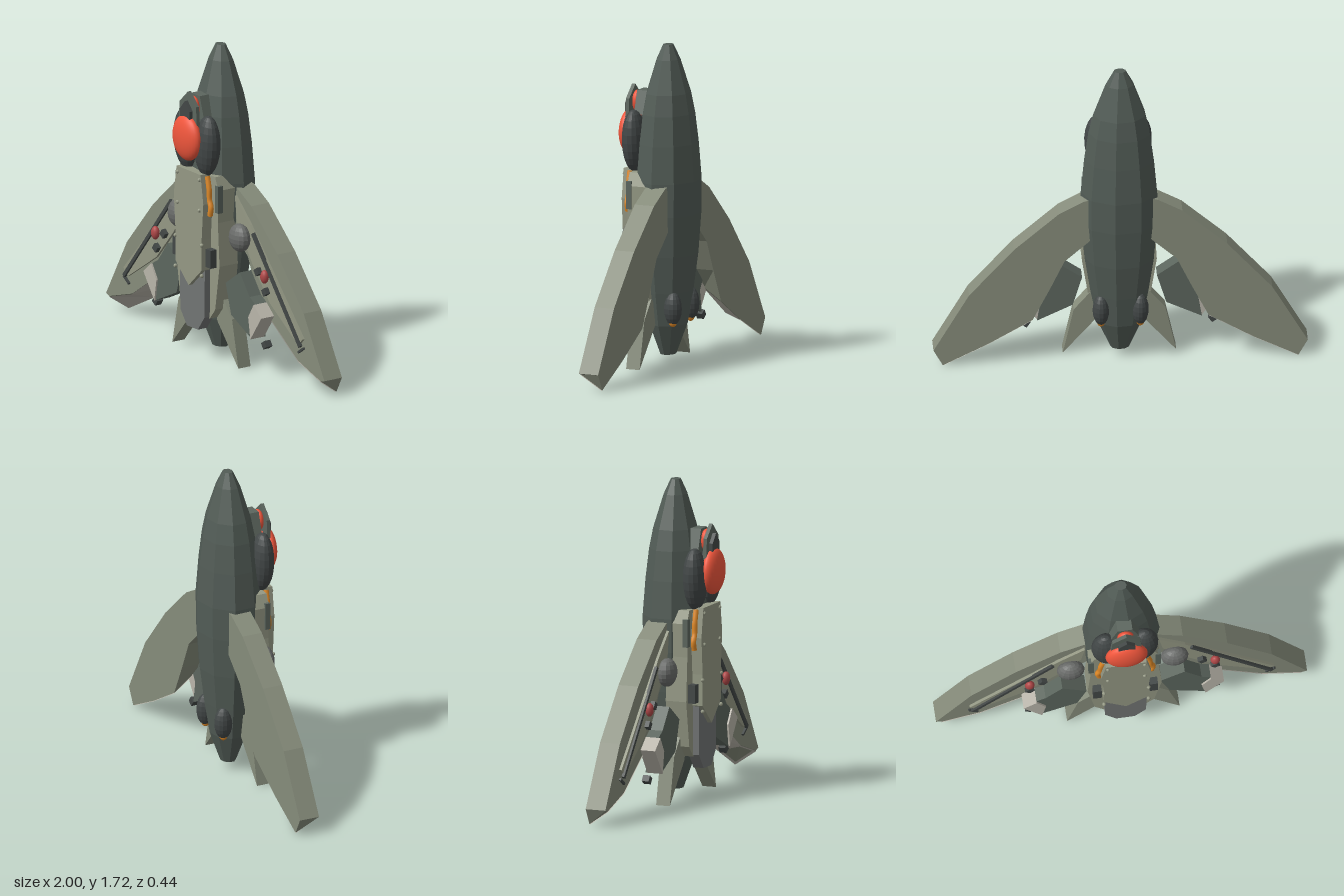
import * as THREE from 'three';

const mat = (color, flat = true, extra = {}) =>
  new THREE.MeshStandardMaterial({ color, flatShading: flat, ...extra });

export function createModel() {
  const root = new THREE.Group();
  root.name = 'craft';
  const hullMat = mat(0x525c56), wingMat = mat(0x868c7b), plateMat = mat(0x949884);
  const greyMat = mat(0x717473), darkMat = mat(0x434847), blockMat = mat(0x5c665e);
  const lightMat = mat(0xb9b5aa, true, { side: THREE.DoubleSide });
  const podMat = mat(0x424747), ballMat = mat(0x6a6c6a);
  const redMat = mat(0xf0563c, false), dullRed = mat(0xb04848, false), orangeMat = mat(0xe08a28, false);

  const add = (name, geo, material, x = 0, y = 0, z = 0) => {
    const m = new THREE.Mesh(geo, material);
    m.name = name;
    m.position.set(x, y, z);
    root.add(m);
    return m;
  };
  // Flat plate: outline in x/y, between two depths
  const plateGeo = (pts, z0, z1, s = 1) => {
    const shape = new THREE.Shape(pts.map(([x, y]) => new THREE.Vector2(x * s, y)));
    return new THREE.ExtrudeGeometry(shape, { depth: z1 - z0, bevelEnabled: false }).translate(0, 0, z0);
  };
  const plate = (name, pts, z0, z1, material, s = 1) => add(name, plateGeo(pts, z0, z1, s), material);
  // Plate symmetric about x = 0, given its +x half from top to bottom
  const symPlate = (name, half, z0, z1, material) =>
    plate(name, [...half, ...half.filter(p => p[0] > 0).reverse().map(([x, y]) => [-x, y])], z0, z1, material);
  const ellipsoid = (name, [x, y, z], [rx, ry, rz], material, w = 20, h = 14) =>
    add(name, new THREE.SphereGeometry(1, w, h).scale(rx, ry, rz), material, x, y, z);

  // Faceted spindle hull
  const profile = [[0, 0.055], [0.05, 0.055], [0.12, 0.22], [0.155, 0.4], [0.185, 0.6], [0.203, 0.82],
    [0.205, 1.0], [0.187, 1.2], [0.165, 1.36], [0.14, 1.47], [0.075, 1.65], [0.032, 1.73], [0, 1.73]];
  const hull = new THREE.LatheGeometry(profile.map(p => new THREE.Vector2(...p)), 9);
  hull.rotateY(Math.PI * 0.95).scale(1.02, 1, 0.83);
  add('hull', hull, hullMat, 0, 0, -0.05);

  // Stacked belly armour
  symPlate('baseArmour', [[0.16, 1.05], [0.19, 0.98], [0.185, 0.8], [0.2, 0.56], [0.16, 0.31], [0.11, 0.25]],
    -0.02, 0.1, plateMat);
  symPlate('keelPlate', [[0.115, 0.55], [0.11, 0.26], [0.05, 0.18], [0, 0.16]].filter(p => p[0] > 0),
    0.075, 0.135, greyMat);
  symPlate('chestPlate', [[0.11, 1.06], [0.135, 0.9], [0.12, 0.7], [0.12, 0.53], [0, 0.42]], 0.1, 0.16, plateMat);

  // Head crest and eyes
  symPlate('crest', [[0, 1.5], [0.075, 1.43], [0.085, 1.3]], 0.145, 0.165, blockMat);
  symPlate('crestBlock', [[0.04, 1.475], [0.08, 1.35]], 0.03, 0.115, blockMat);
  symPlate('crestInset', [[0, 1.45], [0.045, 1.4], [0.045, 1.33]], 0.16, 0.185, darkMat);
  ellipsoid('upperLens', [0, 1.41, 0.13], [0.045, 0.06, 0.03], redMat);
  ellipsoid('mainLens', [0, 1.245, 0.17], [0.114, 0.126, 0.05], redMat, 28, 18);

  // Wing outline: leading edge, tip, then trailing edge
  const wingPts = [[0.12, 1.0], [0.2, 0.98], [0.33, 0.91], [0.57, 0.7], [0.81, 0.43], [1.0, 0.1],
    [0.95, 0.01], [0.71, 0.13], [0.47, 0.27], [0.38, 0.45], [0.3, 0.62], [0.12, 0.78]];
  const bevel = [[0.97, 0.09], [0.76, 0.155], [0.5, 0.33]];
  const trailing = wingPts.slice(6, 9);

  for (const s of [1, -1]) {
    const both = (name, geo, material, x, y, z, rot = 0) => {
      const m = add(name, geo, material, x * s, y, z);
      m.rotation.z = rot * s;
      return m;
    };

    // Thick wing with its trailing edge sloped at the front
    const wing = plateGeo(wingPts, -0.13, -0.015, s);
    const p = wing.attributes.position;
    for (let i = 0; i < p.count; i++) {
      if (p.getZ(i) < -0.05) continue;
      const k = trailing.findIndex(([x, y]) => Math.hypot(p.getX(i) * s - x, p.getY(i) - y) < 1e-4);
      if (k >= 0) p.setXY(i, bevel[k][0] * s, bevel[k][1]);
    }
    wing.computeVertexNormals();
    add('wing', wing, wingMat);

    // Pale facing on the sloped edge
    const strip = [], idx = [];
    trailing.forEach(([x, y], i) => {
      strip.push(x * s, y - 0.003, -0.128, bevel[i][0] * s, bevel[i][1] - 0.003, -0.012);
      if (i) idx.push(2 * i - 2, 2 * i - 1, 2 * i, 2 * i, 2 * i - 1, 2 * i + 1);
    });
    const stripGeo = new THREE.BufferGeometry();
    stripGeo.setAttribute('position', new THREE.Float32BufferAttribute(strip, 3));
    stripGeo.setIndex(idx);
    stripGeo.computeVertexNormals();
    add('wingEdge', stripGeo, lightMat);

    // Raised wing panel with gun barrel and fittings
    plate('wingPanel', [[0.2, 0.94], [0.34, 0.81], [0.82, 0.29], [0.78, 0.25], [0.52, 0.42], [0.36, 0.6], [0.22, 0.8]],
      -0.03, 0, plateMat, s);
    both('gunBarrel', new THREE.BoxGeometry(0.02, 0.68, 0.016), darkMat, 0.59, 0.51, 0.004, 0.69);
    both('gunTip', new THREE.BoxGeometry(0.06, 0.012, 0.012), darkMat, 0.8, 0.225, -0.006, 0.6);
    for (const [x, y] of [[0.43, 0.575], [0.5, 0.48], [0.5, 0.185]])
      both('fitting', new THREE.BoxGeometry(0.036, 0.036, 0.04), darkMat, x, y, 0.005, 0.6);
    ellipsoid('shoulderBall', [0.28 * s, 0.73, 0.025], [0.075, 0.077, 0.05], ballMat, 14, 10);
    ellipsoid('wingLamp', [0.5 * s, 0.565, 0.02], [0.026, 0.037, 0.022], dullRed, 14, 10);

    // Thruster block with pale end facet
    plate('thrusterBlock', [[0.33, 0.555], [0.2, 0.465], [0.25, 0.3], [0.44, 0.21], [0.42, 0.33], [0.47, 0.41], [0.42, 0.44]],
      -0.03, 0.06, blockMat, s);
    plate('thrusterEnd', [[0.54, 0.35], [0.47, 0.41], [0.42, 0.33], [0.44, 0.21]], -0.02, 0.07, lightMat, s);

    // Tail fin
    plate('tailFin', [[0.09, 0.33], [0.16, 0.37], [0.245, 0.27], [0.303, 0.01], [0.11, 0.23]], -0.03, 0.05, wingMat, s);

    // Cheek pod, rear pod and its nozzle
    const cheek = ellipsoid('cheekPod', [0.095 * s, 1.21, 0.105], [0.085, 0.17, 0.062], podMat, 16, 12);
    cheek.rotation.z = -0.08 * s;
    ellipsoid('rearPod', [0.105 * s, 0.32, -0.13], [0.045, 0.09, 0.05], podMat, 14, 10);
    ellipsoid('rearNozzle', [0.105 * s, 0.245, -0.13], [0.022, 0.025, 0.022], orangeMat, 10, 8);

    // Orange hose, side vent and collar box
    const hose = new THREE.CatmullRomCurve3([[0.115, 1.05], [0.132, 0.98], [0.135, 0.92], [0.15, 0.88], [0.14, 0.835]]
      .map(([x, y]) => new THREE.Vector3(x * s, y, 0.12)));
    add('hose', new THREE.TubeGeometry(hose, 16, 0.015, 8), orangeMat);
    both('sideVent', new THREE.BoxGeometry(0.045, 0.1, 0.05), darkMat, 0.152, 0.6, 0.115);
    both('collarBox', new THREE.BoxGeometry(0.03, 0.15, 0.03), blockMat, 0.18, 0.93, 0.09);

    // Rivets along the chest plate
    for (const [x, y] of [[0.1, 1.03], [0.1, 0.86], [0.12, 0.67], [0.12, 0.5]])
      ellipsoid('rivet', [x * s, y, 0.16], [0.011, 0.011, 0.011], plateMat, 8, 6);
  }
  return root;
}
